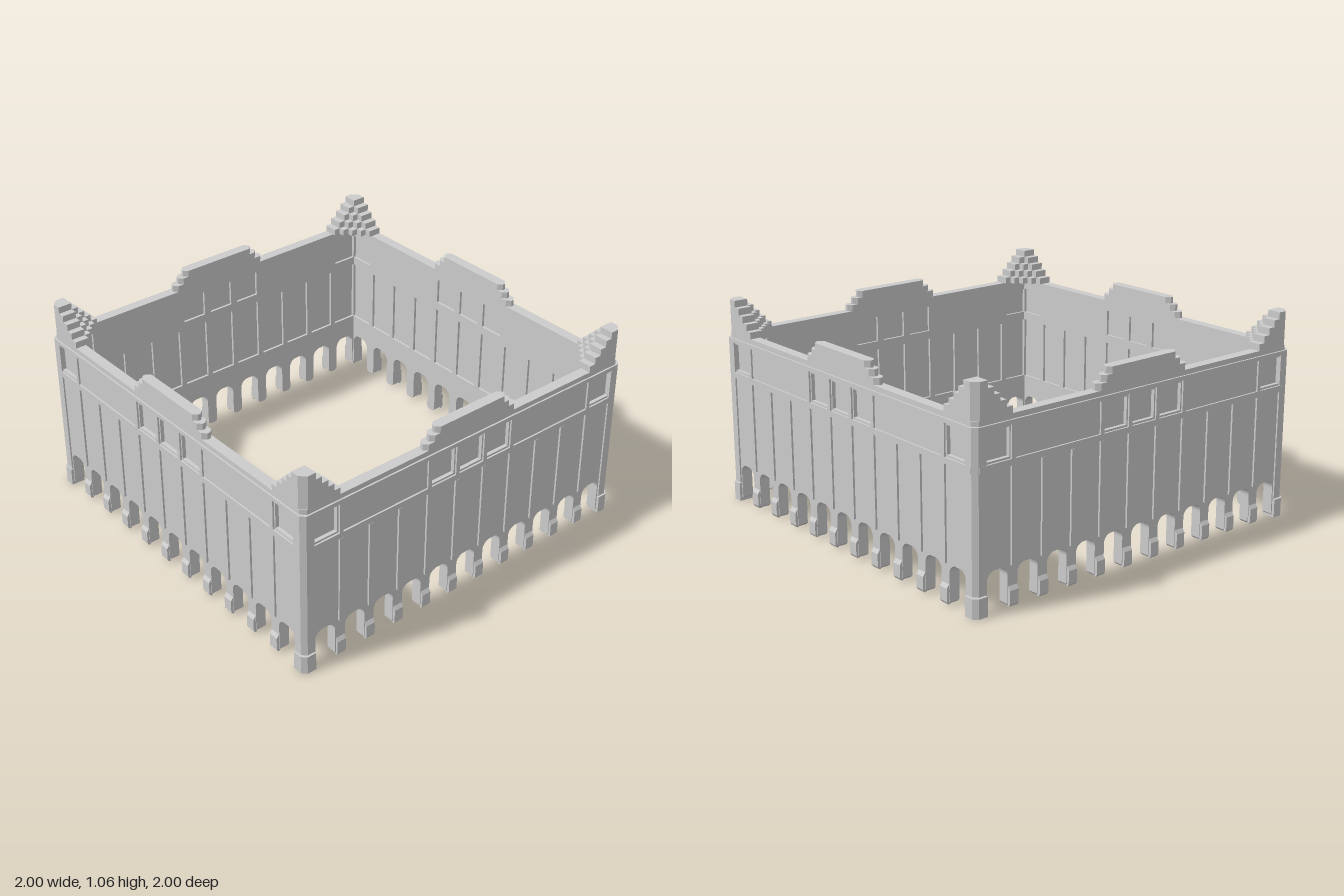
import * as THREE from 'three';

const PITCH = 0.1727;      // bay spacing
const BAYS = 11;
const mat = new THREE.MeshStandardMaterial({ color: 0xcccccc });

function add(parent, geo, name, x = 0, y = 0, z = 0) {
  const m = new THREE.Mesh(geo, mat);
  m.name = name;
  m.position.set(x, y, z);
  parent.add(m);
  return m;
}

const bayX = i => (i - (BAYS - 1) / 2) * PITCH;

// Rectangular hole, wound opposite to the outline
function rectHole(x, y0, y1, w) {
  const p = new THREE.Path();
  p.moveTo(x - w / 2, y0);
  p.lineTo(x - w / 2, y1);
  p.lineTo(x + w / 2, y1);
  p.lineTo(x + w / 2, y0);
  p.closePath();
  return p;
}

// Wall elevation: straight top, round-cornered arches between piers below
function wallShape(end) {
  const s = new THREE.Shape();
  const hw = 0.058, r = 0.045, top = 0.2, c = 0.012;
  s.moveTo(-end, 0.89);
  s.lineTo(-end, 0.01);
  for (let i = 0; i < BAYS; i++) {
    const x = bayX(i);
    s.lineTo(x - hw - c, 0.008);
    s.lineTo(x - hw, 0.008 + c);
    s.lineTo(x - hw, top - r);
    s.absarc(x - hw + r, top - r, r, Math.PI, Math.PI / 2, true);
    s.absarc(x + hw - r, top - r, r, Math.PI / 2, 0, true);
    s.lineTo(x + hw, 0.008 + c);
    s.lineTo(x + hw + c, 0.008);
  }
  s.lineTo(end, 0.01);
  s.lineTo(end, 0.89);
  s.closePath();
  return s;
}

function slab(shape, z0, z1) {
  const g = new THREE.ExtrudeGeometry(shape, { depth: z1 - z0, bevelEnabled: false, curveSegments: 8 });
  return g.translate(0, 0, z0);
}

// Extrude a plan outline (x, z pairs) upward from y0 to y1
function planBlock(points, y0, y1) {
  const s = new THREE.Shape(points.map(([x, z]) => new THREE.Vector2(x, -z)));
  const g = new THREE.ExtrudeGeometry(s, { depth: y1 - y0, bevelEnabled: false });
  return g.rotateX(-Math.PI / 2).translate(0, y0, 0);
}

function buildWall() {
  const wall = new THREE.Group();
  const windowBays = [0, 4, 5, 6, 10];

  // Solid core between the recesses of both faces
  add(wall, slab(wallShape(0.96), 0.943, 0.966), 'wallCore');

  // Outer face with recessed windows
  const outer = wallShape(0.96);
  for (const i of windowBays) outer.holes.push(rectHole(bayX(i), 0.7, 0.835, 0.135));
  add(wall, slab(outer, 0.966, 0.985), 'outerFace');

  // Inner face with windows and tall recessed panels
  const inner = wallShape(0.94);
  for (let i = 0; i < BAYS; i++) inner.holes.push(rectHole(bayX(i), 0.32, 0.655, PITCH - 0.03));
  for (const i of windowBays) inner.holes.push(rectHole(bayX(i), 0.7, 0.835, 0.135));
  add(wall, slab(inner, 0.93, 0.943), 'innerFace');

  // Horizontal ledges under and over the windows
  for (const [y, h] of [[0.675, 0.03], [0.855, 0.02]])
    add(wall, new THREE.BoxGeometry(1.93, h, 0.012), 'outerLedge', 0, y, 0.988);

  // Pilasters, window jambs and plinths on each pier line
  const plinth = new THREE.Shape([[0.98, 0.008], [0.99, 0.008], [0.998, 0.02], [0.998, 0.085], [0.984, 0.105], [0.98, 0.105]]
    .map(([z, y]) => new THREE.Vector2(-z, y)));
  for (let i = 0; i <= BAYS; i++) {
    const x = bayX(i - 0.5);
    const isEnd = i === 0 || i === BAYS;
    if (!isEnd) {
      add(wall, new THREE.BoxGeometry(0.022, 0.46, 0.014), 'pilaster', x, 0.43, 0.988);
      const g = new THREE.ExtrudeGeometry(plinth, { depth: 0.05, bevelEnabled: false });
      g.rotateY(Math.PI / 2);
      add(wall, g, 'pierPlinth', x - 0.025, 0, 0);
    }
    if ([1, 4, 5, 6, 7, 10].includes(i))
      add(wall, new THREE.BoxGeometry(0.022, 0.16, 0.012), 'windowJamb', x, 0.767, 0.988);
  }

  // Stepped crest at mid-wall with chamfered ends
  [0.285, 0.25, 0.218].forEach((w, k) => {
    const c = 0.02, a = 0.93, b = 0.985;
    add(wall, planBlock([[-w, b - c], [-w + c, b], [w - c, b], [w, b - c], [w, a + c], [w - c, a], [-w + c, a], [-w, a + c]],
      0.89 + k * 0.0333, 0.89 + (k + 1) * 0.0333), 'crestStep');
  });
  return wall;
}

// Corner at +x +z: chamfered post topped by a stepped pyramid
function buildCorner() {
  const corner = new THREE.Group();
  const post = (r, c) => [[0.928, 0.928], [0.928, r], [r - c, r], [r, r - c], [r, 0.928]];
  add(corner, planBlock(post(0.993, 0.022), 0.1, 0.865), 'cornerPost');
  add(corner, planBlock(post(0.999, 0.022), 0, 0.095), 'cornerPlinth');
  add(corner, planBlock(post(0.985, 0.025), 0.865, 0.89), 'cornerCap');

  const a = k => 0.912 - 0.034 * k, r = 0.985, c = 0.03;
  for (let level = 0; level < 5; level++) {
    const n = 4 - level;
    const pts = [[r, a(n)], [r, r - c], [r - c, r], [a(n), r]];
    for (let k = n; k >= 0; k--) {
      pts.push([a(k), a(n - k)]);
      if (k > 0) pts.push([a(k - 1), a(n - k)]);
    }
    add(corner, planBlock(pts, 0.89 + level * 0.034, 0.89 + (level + 1) * 0.034), 'cornerStep');
  }
  return corner;
}

export function createModel() {
  const model = new THREE.Group();
  model.name = 'walledEnclosure';
  ['front', 'left', 'back', 'right'].forEach((side, i) => {
    const wall = buildWall();
    wall.name = side + 'Wall';
    wall.rotation.y = i * Math.PI / 2;
    const corner = buildCorner();
    corner.name = side + 'Corner';
    corner.rotation.y = i * Math.PI / 2;
    model.add(wall, corner);
  });
  return model;
}
